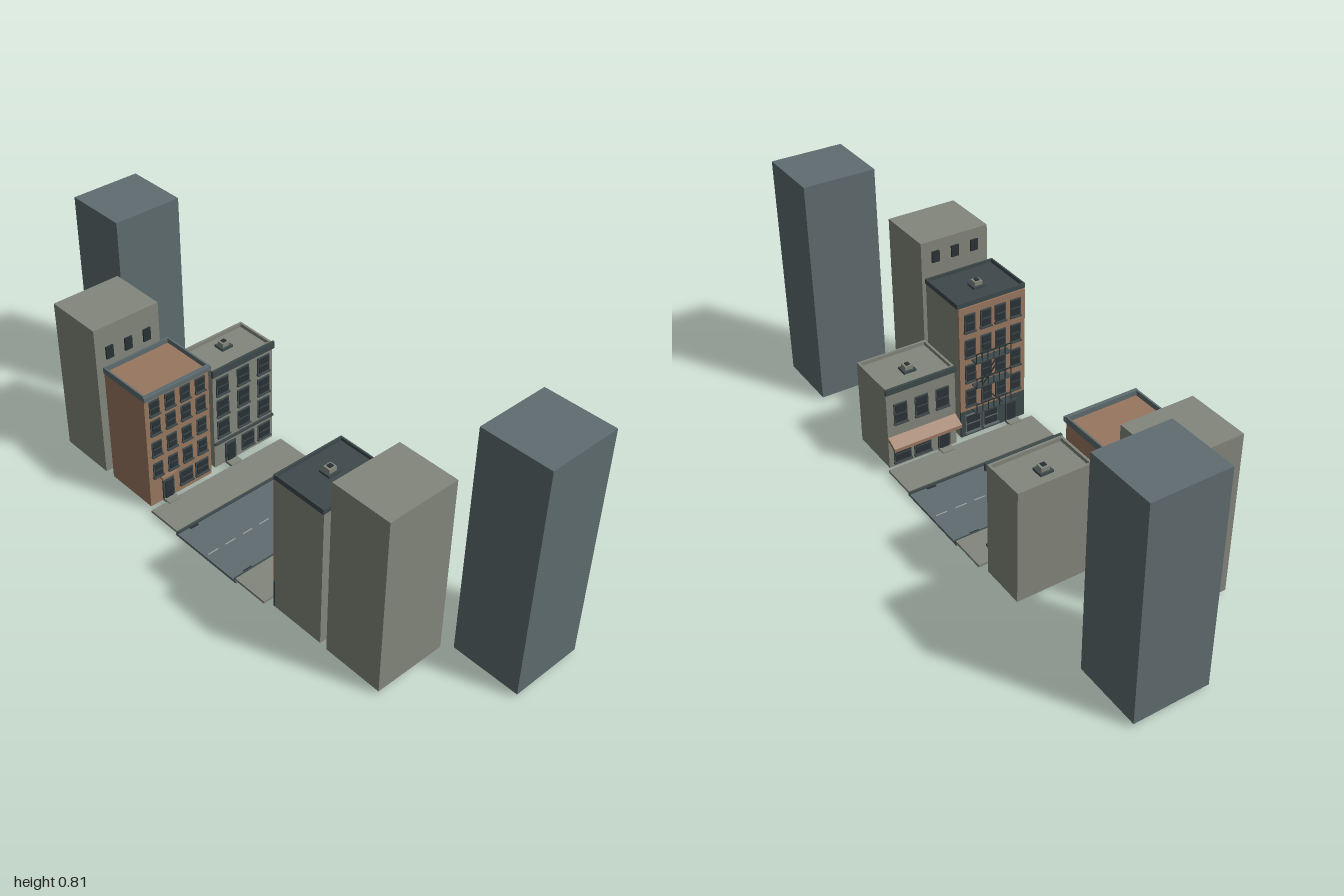
import * as THREE from 'three';

const mat = (name, color) => {
  const m = new THREE.MeshStandardMaterial({ color });
  m.name = name;
  return m;
};

export function createModel() {
  const model = new THREE.Group();
  model.name = 'streetBlock';
  const slate = mat('slate', 0x5f6c6f), concrete = mat('concrete', 0x83867c);
  const brick = mat('brick', 0x98775f), dark = mat('darkRoof', 0x3e494b);
  const glass = mat('darkGlass', 0x2a3236), pale = mat('paleLine', 0x9ca29c);

  // Box given by its limits on each axis
  const box = (parent, name, m, x0, x1, y0, y1, z0, z1) => {
    const mesh = new THREE.Mesh(new THREE.BoxGeometry(Math.abs(x1 - x0), y1 - y0, z1 - z0), m);
    mesh.position.set((x0 + x1) / 2, (y0 + y1) / 2, (z0 + z1) / 2);
    mesh.name = name;
    parent.add(mesh);
    return mesh;
  };
  const group = (name) => {
    const g = new THREE.Group();
    g.name = name;
    model.add(g);
    return g;
  };

  // Framed windows on a wall at x, facing s (+1 or -1)
  const windows = (g, x, s, zs, ys, w, h, frame) => {
    for (const z of zs) for (const y of ys) {
      if (frame) {
        box(g, 'windowFrame', frame, x, x + s * 0.004, y - 0.004, y + h + 0.004, z - w / 2 - 0.004, z + w / 2 + 0.004);
        box(g, 'windowSill', frame, x, x + s * 0.009, y - 0.009, y - 0.004, z - w / 2 - 0.006, z + w / 2 + 0.006);
        box(g, 'windowBar', frame, x, x + s * 0.007, y + h / 2 - 0.002, y + h / 2 + 0.002, z - w / 2, z + w / 2);
      }
      box(g, 'windowPane', glass, x, x + s * 0.006, y, y + h, z - w / 2, z + w / 2);
    }
  };

  // Low wall round a flat roof
  const parapet = (g, m, x0, x1, y0, y1, z0, z1, t = 0.008) => {
    box(g, 'parapet', m, x0, x0 + t, y0, y1, z0, z1);
    box(g, 'parapet', m, x1 - t, x1, y0, y1, z0, z1);
    box(g, 'parapet', m, x0 + t, x1 - t, y0, y1, z0, z0 + t);
    box(g, 'parapet', m, x0 + t, x1 - t, y0, y1, z1 - t, z1);
  };

  // Roof vent: plinth, housing and cap
  const vent = (g, x, y, z) => {
    box(g, 'ventPlinth', dark, x - 0.02, x + 0.02, y, y + 0.008, z - 0.022, z + 0.022);
    box(g, 'ventHousing', concrete, x - 0.013, x + 0.013, y + 0.008, y + 0.022, z - 0.014, z + 0.014);
    box(g, 'ventCap', glass, x - 0.007, x + 0.007, y + 0.022, y + 0.026, z - 0.007, z + 0.007);
  };

  const door = (g, x, s, z) => {
    box(g, 'doorFrame', dark, x, x + s * 0.006, 0.015, 0.095, z - 0.022, z + 0.022);
    box(g, 'door', glass, x, x + s * 0.009, 0.015, 0.088, z - 0.016, z + 0.016);
    box(g, 'doorStep', concrete, x, x + s * 0.035, 0.012, 0.022, z - 0.022, z + 0.022);
  };

  // Street: road, kerbs, pavements, dashes and drains
  const street = group('street');
  box(street, 'road', slate, -0.145, 0.145, 0, 0.01, -0.285, 0.272);
  for (const s of [-1, 1]) {
    box(street, 'pavement', concrete, s * 0.142, s * 0.272, 0.009, 0.018, -0.285, 0.27);
    box(street, 'kerb', dark, s * 0.134, s * 0.142, 0.009, 0.016, -0.285, 0.27);
    for (const z of [-0.21, 0.21]) box(street, 'drain', glass, s * 0.126, s * 0.134, 0.009, 0.012, z - 0.016, z + 0.016);
  }
  for (let z = -0.25; z < 0.27; z += 0.07) box(street, 'laneDash', pale, -0.002, 0.002, 0.009, 0.011, z - 0.02, z + 0.02);

  // Outer towers
  box(model, 'rightTower', slate, -1, -0.768, 0.012, 0.744, -0.272, -0.02);
  box(model, 'leftTower', slate, 0.765, 1, 0.012, 0.814, -0.272, -0.02);

  // Plain blocks behind the street fronts
  const rightBlock = group('rightBlock'), leftBlock = group('leftBlock');
  box(rightBlock, 'blockBody', concrete, -0.744, -0.532, 0.012, 0.57, 0.008, 0.258);
  windows(rightBlock, -0.532, 1, [0.06, 0.133, 0.206], [0.1, 0.21, 0.32, 0.45], 0.028, 0.045);
  box(leftBlock, 'blockBody', concrete, 0.528, 0.738, 0.012, 0.638, 0.008, 0.258);
  windows(leftBlock, 0.528, -1, [0.06, 0.133, 0.206], [0.1, 0.22, 0.34, 0.45, 0.56], 0.028, 0.04);

  // Brick house
  const brickHouse = group('brickHouse');
  box(brickHouse, 'houseBody', brick, -0.494, -0.292, 0.014, 0.437, 0.004, 0.256);
  parapet(brickHouse, slate, -0.496, -0.29, 0.432, 0.454, 0.002, 0.258, 0.006);
  box(brickHouse, 'cornice', slate, -0.292, -0.282, 0.436, 0.452, 0, 0.261);
  windows(brickHouse, -0.292, 1, [0.04, 0.1, 0.16, 0.22], [0.13, 0.215, 0.3, 0.375], 0.03, 0.045, dark);
  windows(brickHouse, -0.292, 1, [0.045, 0.11], [0.045], 0.045, 0.045, dark);
  door(brickHouse, -0.292, 1, 0.185);
  box(brickHouse, 'doorCanopy', brick, -0.292, -0.275, 0.11, 0.118, 0.155, 0.215);
  for (let i = 0; i < 4; i++) box(brickHouse, 'sideWindow', glass, -0.34, -0.312, 0.055 + i * 0.078, 0.107 + i * 0.078, -0.001, 0.004);

  // Grey house
  const greyHouse = group('greyHouse');
  box(greyHouse, 'houseBody', concrete, -0.46, -0.305, 0.014, 0.395, -0.274, -0.022);
  parapet(greyHouse, concrete, -0.46, -0.305, 0.395, 0.408, -0.274, -0.022);
  box(greyHouse, 'cornice', dark, -0.305, -0.296, 0.385, 0.41, -0.278, -0.018);
  box(greyHouse, 'stringCourse', dark, -0.305, -0.298, 0.108, 0.116, -0.275, -0.021);
  windows(greyHouse, -0.305, 1, [-0.235, -0.148, -0.061], [0.14, 0.225, 0.31], 0.042, 0.055, dark);
  windows(greyHouse, -0.305, 1, [-0.235, -0.165], [0.04], 0.045, 0.05, dark);
  door(greyHouse, -0.305, 1, -0.088);
  vent(greyHouse, -0.4, 0.395, -0.15);

  // Tall house with brick front
  const tallHouse = group('tallHouse');
  box(tallHouse, 'houseBody', concrete, 0.305, 0.5, 0.014, 0.508, 0.006, 0.256);
  box(tallHouse, 'roofDeck', dark, 0.308, 0.498, 0.508, 0.514, 0.01, 0.252);
  parapet(tallHouse, dark, 0.303, 0.502, 0.508, 0.525, 0.004, 0.26, 0.006);
  box(tallHouse, 'brickFront', brick, 0.298, 0.305, 0.115, 0.508, 0.006, 0.256);
  box(tallHouse, 'shopFront', dark, 0.298, 0.305, 0.014, 0.115, 0.006, 0.256);
  windows(tallHouse, 0.298, -1, [0.045, 0.105, 0.16, 0.218], [0.14, 0.235, 0.33, 0.425], 0.032, 0.055, dark);
  windows(tallHouse, 0.298, -1, [0.05, 0.12], [0.035], 0.05, 0.06, slate);
  door(tallHouse, 0.298, -1, 0.2);
  vent(tallHouse, 0.39, 0.514, 0.13);

  // Fire escape: landings, rails and ladders between them
  const escape = group('fireEscape');
  [0.11, 0.21, 0.305].forEach((y, i) => {
    box(escape, 'landing', dark, 0.268, 0.298, y, y + 0.005, 0.05, 0.185);
    box(escape, 'handRail', glass, 0.268, 0.271, y + 0.036, y + 0.039, 0.05, 0.185);
    for (let k = 0; k <= 6; k++) {
      const z = 0.05 + k * 0.022;
      box(escape, 'railPost', glass, 0.268, 0.2705, y, y + 0.037, z, z + 0.0025);
    }
    if (i < 2) for (const x of [0.275, 0.289]) {
      const ladder = box(escape, 'ladderSide', glass, x, x + 0.003, y, y + 0.13, 0.115, 0.119);
      ladder.position.y = y + 0.05;
      ladder.rotation.x = i ? 0.7 : -0.7;
    }
  });

  // Low shop with brick awning
  const shop = group('lowShop');
  box(shop, 'shopBody', concrete, 0.285, 0.472, 0.014, 0.305, -0.274, -0.022);
  parapet(shop, concrete, 0.285, 0.472, 0.305, 0.318, -0.274, -0.022);
  box(shop, 'cornice', dark, 0.276, 0.285, 0.3, 0.32, -0.277, -0.019);
  windows(shop, 0.285, -1, [-0.225, -0.148, -0.071], [0.185], 0.04, 0.065, dark);
  windows(shop, 0.285, -1, [-0.225, -0.15], [0.035], 0.055, 0.055, dark);
  door(shop, 0.285, -1, -0.07);
  const side = new THREE.Shape([[0.285, 0.133], [0.244, 0.112], [0.244, 0.1], [0.285, 0.12]].map((p) => new THREE.Vector2(...p)));
  const awning = new THREE.Mesh(new THREE.ExtrudeGeometry(side, { depth: 0.25, bevelEnabled: false }), brick);
  awning.name = 'awning';
  awning.position.z = -0.273;
  shop.add(awning);
  vent(shop, 0.365, 0.305, -0.15);

  return model;
}
